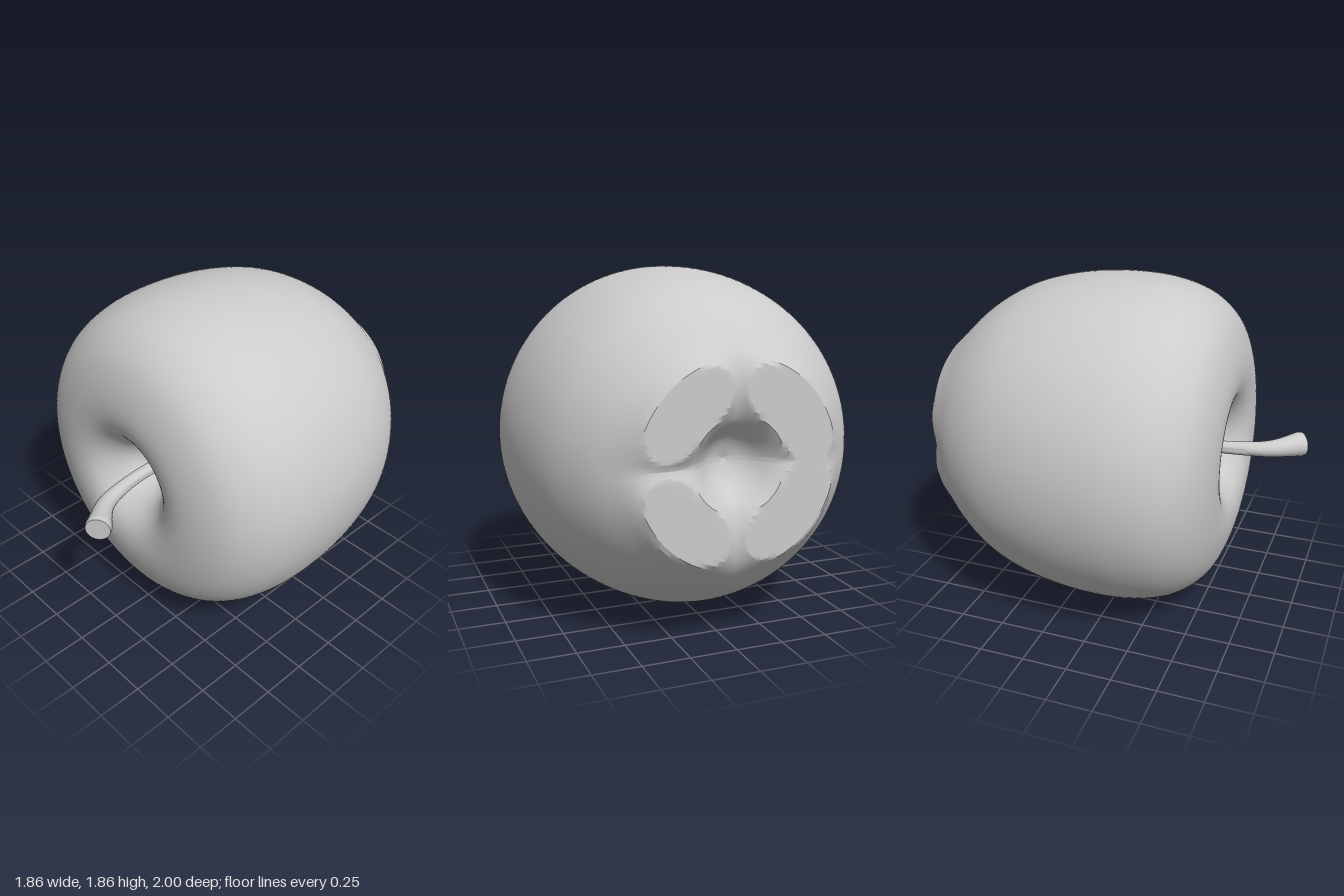
import * as THREE from 'three';
import { toCreasedNormals } from 'three/addons/utils/BufferGeometryUtils.js';

const CENTER_Y = 0.945;
const BACK = -1;

// Fruit body: a lathe about z, raised into four lobes at the back and sliced flat
function makeBody(material) {
  const profile = [
    [0, -0.8], [0.1, -0.84], [0.22, -0.945], [0.36, -0.985], [0.5, -0.965], [0.62, -0.88],
    [0.72, -0.77], [0.83, -0.58], [0.9, -0.34], [0.93, -0.06], [0.915, 0.2], [0.85, 0.4],
    [0.74, 0.53], [0.6, 0.6], [0.43, 0.63], [0.31, 0.605], [0.2, 0.51], [0.1, 0.36], [0, 0.26],
  ].map(([r, z]) => new THREE.Vector3(r, z, 0));
  const points = new THREE.CatmullRomCurve3(profile).getSpacedPoints(120)
    .map((p) => new THREE.Vector2(Math.max(0, p.x), p.y));
  const geo = new THREE.LatheGeometry(points, 144).rotateX(Math.PI / 2);
  const pos = geo.attributes.position;
  for (let i = 0; i < pos.count; i++) {
    const x = pos.getX(i), y = pos.getY(i);
    let z = pos.getZ(i);
    if (z < -0.4) {
      const r = Math.hypot(x, y), a = Math.atan2(y, x);
      const s = Math.sin(2 * a);
      const lobe = Math.sqrt(s * s + 0.01) - 0.1;
      // the valley on the -x side is shallower
      const fill = 0.035 * Math.max(0, -Math.cos(a)) ** 8;
      z -= (0.13 * lobe + fill) * Math.exp(-(((r - 0.39) / 0.16) ** 2));
    }
    pos.setZ(i, Math.max(BACK, z));
  }
  geo.deleteAttribute('uv');
  geo.deleteAttribute('normal');
  const body = new THREE.Mesh(toCreasedNormals(geo, 0.35), material);
  body.name = 'fruitBody';
  body.position.y = CENTER_Y;
  return body;
}

// Curved stem: a tube flaring to a flat cut end with a small bevel
function makeStem(material) {
  const curve = new THREE.CatmullRomCurve3([
    [-0.015, 0, 0.2], [-0.005, 0, 0.42], [0.015, 0, 0.62], [0.07, 0, 0.8], [0.2, 0, 0.955],
  ].map((p) => new THREE.Vector3(...p)));
  const rings = 40, sides = 24;
  const geo = new THREE.TubeGeometry(curve, rings, 1, sides);
  const pos = geo.attributes.position;
  const v = new THREE.Vector3();
  for (let i = 0; i <= rings; i++) {
    const t = i / rings;
    const c = curve.getPointAt(t);
    const radius = i === rings ? 0.066 : 0.034 + 0.04 * t ** 4;
    for (let j = 0; j <= sides; j++) {
      const k = i * (sides + 1) + j;
      v.fromBufferAttribute(pos, k).sub(c).multiplyScalar(radius).add(c);
      pos.setXYZ(k, v.x, v.y, v.z);
    }
  }
  geo.deleteAttribute('uv');
  geo.deleteAttribute('normal');
  const stem = new THREE.Group();
  stem.name = 'stem';
  stem.position.y = CENTER_Y;
  const stalk = new THREE.Mesh(toCreasedNormals(geo, 0.6), material);
  stalk.name = 'stemStalk';
  const end = new THREE.Mesh(new THREE.CircleGeometry(0.066, sides), material);
  end.name = 'stemEnd';
  end.position.copy(curve.getPointAt(1));
  end.quaternion.setFromUnitVectors(new THREE.Vector3(0, 0, 1), curve.getTangentAt(1));
  stem.add(stalk, end);
  return stem;
}

export function createModel() {
  const material = new THREE.MeshStandardMaterial({ color: 0xcccccc });
  const model = new THREE.Group();
  model.name = 'apple';
  model.add(makeBody(material), makeStem(material));
  return model;
}
